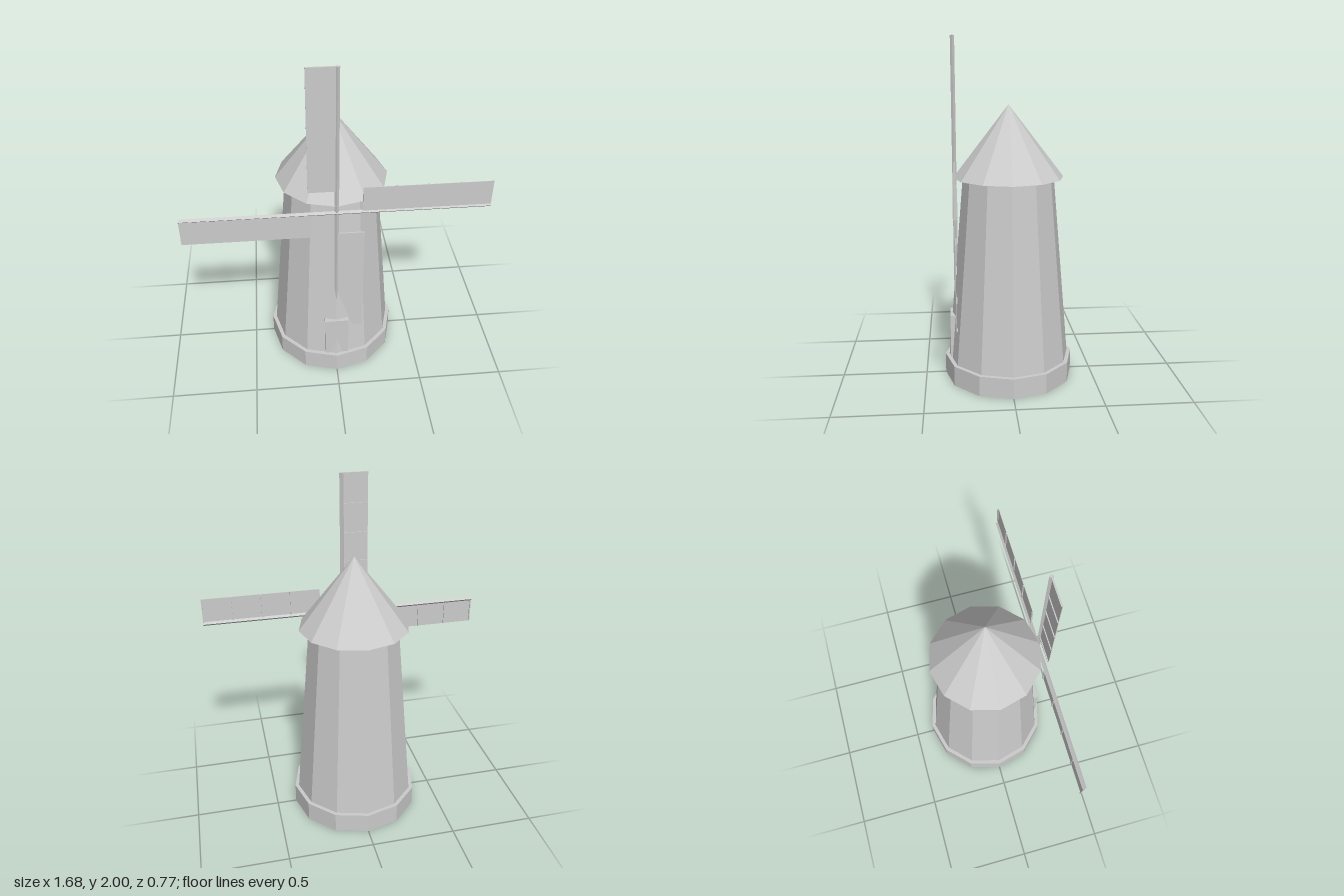
import * as THREE from 'three';

const SIDES = 12;
const HUB_Y = 1.16, SAIL_Z = 0.312, REACH = 0.84;

export function createModel() {
  const root = new THREE.Group();
  const mat = new THREE.MeshStandardMaterial({ color: 0xcccccc, flatShading: true, side: THREE.DoubleSide });

  function add(parent, name, geometry, x = 0, y = 0, z = 0) {
    const mesh = new THREE.Mesh(geometry, mat);
    mesh.name = name;
    mesh.position.set(x, y, z);
    parent.add(mesh);
    return mesh;
  }

  // Plinth: hollow underneath, closed by a flat ledge
  const plinth = new THREE.Group();
  plinth.name = 'plinth';
  root.add(plinth);
  add(plinth, 'plinthWall', new THREE.CylinderGeometry(0.383, 0.383, 0.12, SIDES, 1, true), 0, 0.06);
  const ledge = new THREE.CircleGeometry(0.383, SIDES);
  ledge.rotateX(-Math.PI / 2);
  add(plinth, 'plinthLedge', ledge, 0, 0.12);

  // Tapered tower and overhanging open cone roof
  add(root, 'tower', new THREE.CylinderGeometry(0.265, 0.36, 1.085, SIDES), 0, 0.6625);
  add(root, 'roof', new THREE.ConeGeometry(0.32, 0.415, SIDES, 1, true), 0, 1.4125);

  // Door set against the front ridge of the tower
  add(root, 'door', new THREE.BoxGeometry(0.14, 0.265, 0.04), 0, 0.2525, 0.33);

  // Four sails, each a quarter turn from the last
  const sails = new THREE.Group();
  sails.name = 'sails';
  sails.position.set(0, HUB_Y, SAIL_Z);
  root.add(sails);
  for (let i = 0; i < 4; i++) {
    const sail = new THREE.Group();
    sail.name = 'sail';
    sail.rotation.z = i * Math.PI / 2;
    sails.add(sail);

    // Diamond-section arm
    add(sail, 'sailArm', new THREE.CylinderGeometry(0.012, 0.012, REACH, 4), 0, REACH / 2);

    // Thin panel on one side of the arm
    add(sail, 'sailPanel', new THREE.BoxGeometry(0.147, 0.7, 0.003), -0.0815, 0.49, 0.003);

    // Ribs across the back of the panel
    for (let r = 0; r < 5; r++) {
      add(sail, 'sailRib', new THREE.BoxGeometry(0.15, 0.007, 0.007), -0.08, 0.1435 + r * 0.17325, -0.001);
    }
  }

  return root;
}
